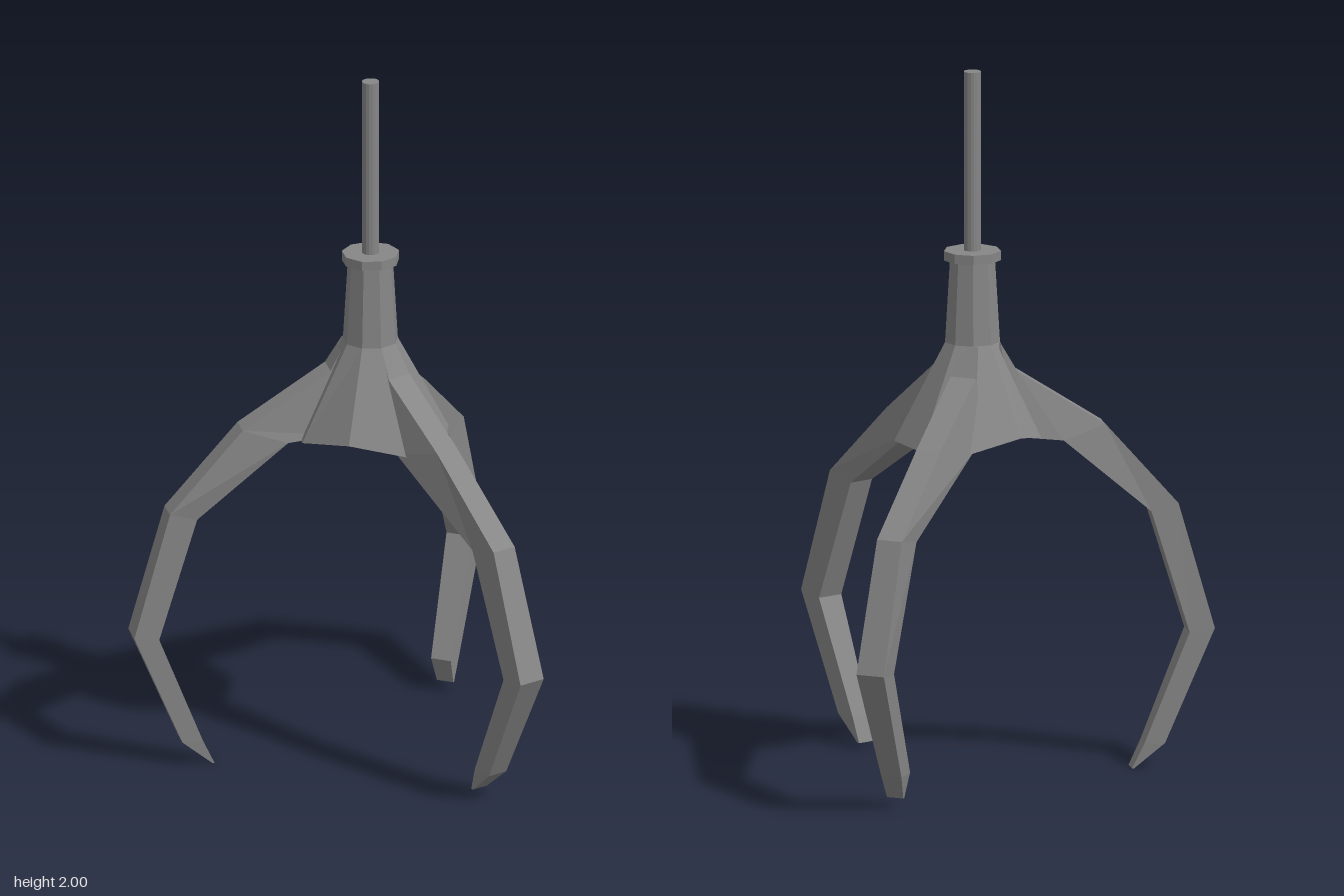
import * as THREE from 'three';

const material = new THREE.MeshStandardMaterial({ color: 0x868686, flatShading: true });
const axisX = 0.107; // the hub sits a little off centre

function addMesh(parent, name, geometry) {
  const mesh = new THREE.Mesh(geometry, material);
  mesh.name = name;
  parent.add(mesh);
  return mesh;
}

// Skin a list of equal-sized rings and cap both ends
function loft(rings) {
  const n = rings[0].length;
  const index = [];
  for (let r = 0; r < rings.length - 1; r++) {
    for (let i = 0; i < n; i++) {
      const j = (i + 1) % n;
      const a = r * n + i, b = r * n + j, c = b + n, d = a + n;
      index.push(a, b, c, a, c, d);
    }
  }
  const last = (rings.length - 1) * n;
  for (let i = 1; i < n - 1; i++) {
    index.push(0, i + 1, i, last, last + i, last + i + 1);
  }
  const geometry = new THREE.BufferGeometry();
  geometry.setAttribute('position', new THREE.Float32BufferAttribute(rings.flat(2), 3));
  geometry.setIndex(index);
  const flat = geometry.toNonIndexed();
  flat.computeVertexNormals();
  return flat;
}

// Nine-sided ring around the hub axis
function hubRing(radius, y) {
  return Array.from({ length: 9 }, (_, i) => {
    const a = (i / 9) * Math.PI * 2;
    return [axisX + radius * Math.cos(a), y, radius * Math.sin(a)];
  });
}

// Leg stations: outer t, y, half width, then inner t, y, half width
// (t runs from 0 at the shoulder to 1 at the elbow)
const stations = [
  [0, 0.99, 0.036, -0.4, 0.953, 0.062],
  [0.67, 0.755, 0.038, 0.42, 0.735, 0.038],
  [1, 0.395, 0.042, 0.77, 0.385, 0.04],
  [0.55, 0.07, 0.031, 0.36, 0.07, 0.03],
  [0.27, 0, 0.025, 0.25, 0, 0.025],
];

function legGeometry({ shoulder, elbow, lift, curl, skew }) {
  const [sx, sz] = shoulder;
  const dx = elbow[0] - sx, dz = elbow[1] - sz;
  const length = Math.hypot(dx, dz);
  const px = -dz / length, pz = dx / length;
  // The upper strip runs up the flare to the neck
  const atRadius = (r) => (r - Math.hypot(sx - axisX, sz)) / length;
  const roots = [
    [atRadius(0.072), 1.23, 0.024, atRadius(0.05), 1.1, 0.024],
    [atRadius(0.118), 1.15, 0.038, atRadius(0.11), 0.97, 0.07],
  ];
  const rings = [...roots, ...stations].map(([to, yo, wo, ti, yi, wi], k) => {
    const rise = k > 2 ? lift : 0;
    const along = k > 5 ? curl : 0;
    const point = (t, y, w) => {
      const side = w + (k > 3 ? skew * (1 - t) : 0);
      return [
        sx + dx * (t + along) + px * side,
        y + rise,
        sz + dz * (t + along) + pz * side,
      ];
    };
    return [point(to, yo, wo), point(ti, yi, wi), point(ti, yi, -wi), point(to, yo, -wo)];
  });
  return loft(rings);
}

export function createModel() {
  const model = new THREE.Group();
  model.name = 'grabClaw';

  // Rod and collar
  addMesh(model, 'rod', new THREE.CylinderGeometry(0.024, 0.024, 0.53, 16))
    .position.set(axisX, 1.735, 0);
  addMesh(model, 'collar', loft([hubRing(0.081, 1.49), hubRing(0.081, 1.463)]));

  // Neck flaring into an uneven skirt
  const half = [[0.285, 0.95, 0.14], [0.175, 0.95, 0.22], [0.005, 0.985, 0.18], [-0.1, 0.957, 0.055]];
  const rim = [
    [0.33, 0.955, 0],
    ...half,
    ...half.slice().reverse().map(([x, y, z]) => [x, y, -z]),
  ];
  const underside = rim.map(([x, , z]) => [axisX + (x - axisX) * 0.3, 0.965, z * 0.3]);
  addMesh(model, 'hub', loft([hubRing(0.064, 1.465), hubRing(0.078, 1.23), rim, underside]));

  // Three bent claws
  const legs = {
    rightClaw: { shoulder: [-0.26, -0.027], elbow: [-0.57, -0.031], lift: 0, curl: 0, skew: 0 },
    frontLeftClaw: { shoulder: [0.262, 0.29], elbow: [0.431, 0.621], lift: 0.014, curl: 0.04, skew: -0.03 },
    backLeftClaw: { shoulder: [0.295, -0.3], elbow: [0.53, -0.623], lift: 0.029, curl: 0.16, skew: 0.035 },
  };
  for (const [name, leg] of Object.entries(legs)) addMesh(model, name, legGeometry(leg));

  return model;
}
